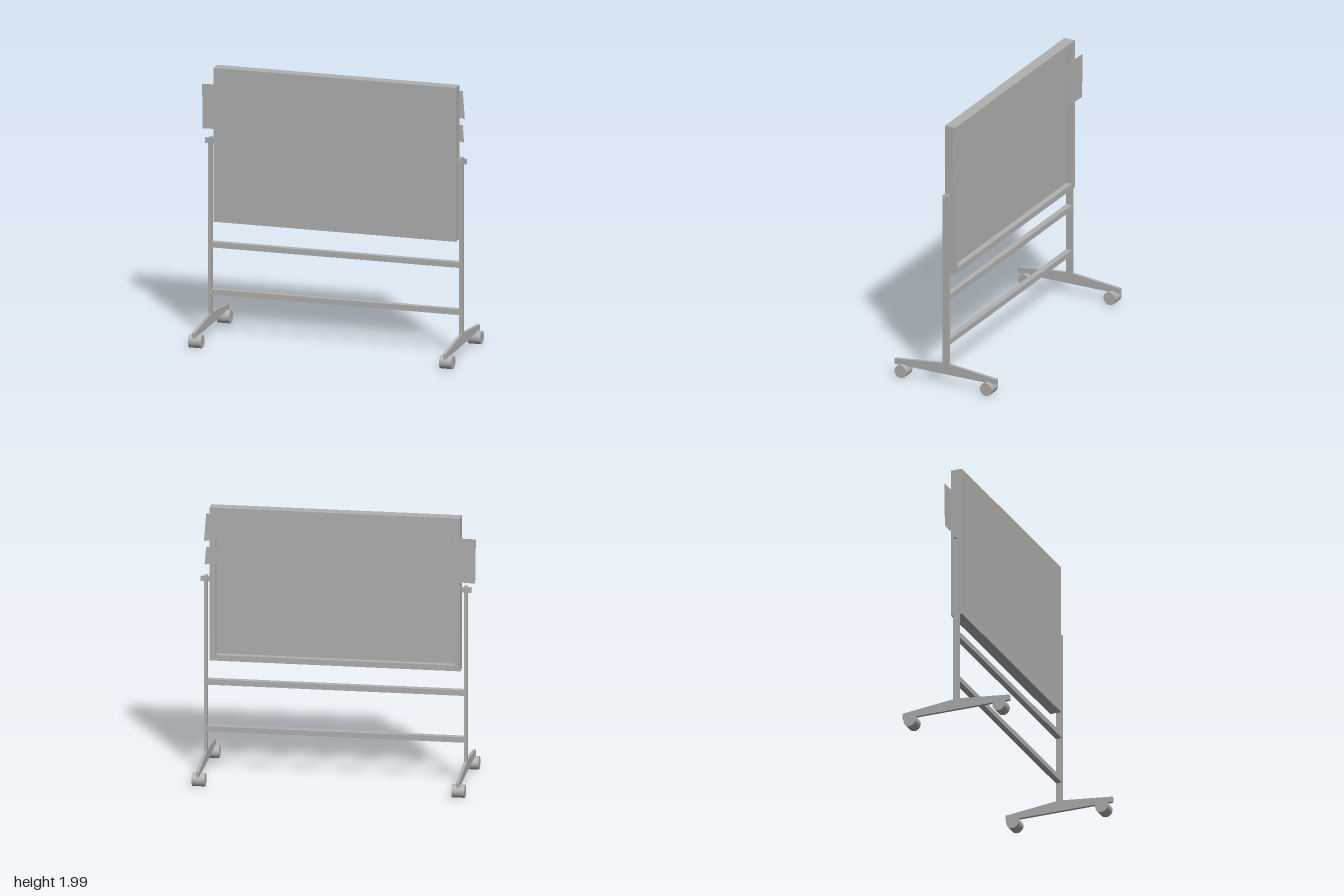
import * as THREE from 'three';

export function createModel() {
  const model = new THREE.Group();
  model.name = 'mobileWhiteboard';
  const grey = new THREE.MeshStandardMaterial({ color: 0xb0b0b0 });
  grey.name = 'grey';

  const add = (name, geometry) => {
    const mesh = new THREE.Mesh(geometry, grey);
    mesh.name = name;
    model.add(mesh);
    return mesh;
  };

  // Box given by its limits on each axis
  const box = (name, x0, x1, y0, y1, z0, z1) => {
    const mesh = add(name, new THREE.BoxGeometry(x1 - x0, y1 - y0, z1 - z0));
    mesh.position.set((x0 + x1) / 2, (y0 + y1) / 2, (z0 + z1) / 2);
    return mesh;
  };

  const shapeOf = (points) => new THREE.Shape(points.map(([x, y]) => new THREE.Vector2(x, y)));
  const plate = (points, depth) =>
    new THREE.ExtrudeGeometry(shapeOf(points), { depth, bevelEnabled: false });

  // Board: flat front panel with a raised rim around the back
  const [left, right, bottom, top] = [-0.887, 0.92, 0.85, 1.99];
  const [back, recess, front] = [-0.057, -0.012, 0.028];
  const rim = 0.042;
  box('boardPanel', left, right, bottom, top, recess, front);
  const rimShape = shapeOf([[left, bottom], [right, bottom], [right, top], [left, top]]);
  rimShape.holes.push(new THREE.Path([
    [left + rim, bottom + rim], [left + rim, top - rim],
    [right - rim, top - rim], [right - rim, bottom + rim],
  ].map(([x, y]) => new THREE.Vector2(x, y))));
  const rimMesh = add('boardRim',
    new THREE.ExtrudeGeometry(rimShape, { depth: recess - back, bevelEnabled: false }));
  rimMesh.position.z = back;

  // Paper notes stuck to the back of the rim
  const notes = {
    largeNote: [[-0.995, 1.51], [-0.75, 1.52], [-0.745, 1.845], [-1.0, 1.84]],
    upperNote: [[0.86, 1.755], [0.96, 1.74], [0.945, 1.945], [0.85, 1.945]],
    lowerNote: [[0.86, 1.58], [0.955, 1.565], [0.945, 1.695], [0.855, 1.695]],
  };
  for (const [name, points] of Object.entries(notes)) {
    add(name, plate(points, 0.002)).position.z = back - 0.002;
  }

  // Side stands: post, pivot, tapered foot and two casters
  const footProfile = [
    [-0.413, 0.085], [0.413, 0.085], [0.413, 0.125],
    [0.022, 0.167], [-0.022, 0.167], [-0.413, 0.125],
  ];
  const thick = 0.022;
  for (const [side, x] of [['right', -0.919], ['left', 0.953]]) {
    box(`${side}Post`, x - thick / 2, x + thick / 2, 0.166, 1.47, -0.023, 0.023);
    box(`${side}Pivot`, x - 0.038, x + 0.038, 1.424, 1.462, -0.009, 0.009);

    const foot = add(`${side}Foot`, plate(footProfile, thick));
    foot.rotation.y = Math.PI / 2;
    foot.position.x = x - thick / 2;

    for (const z of [-0.345, 0.345]) {
      const caster = add(`${side}Caster`, new THREE.CylinderGeometry(0.048, 0.048, 0.093, 32));
      caster.rotation.z = Math.PI / 2;
      caster.position.set(x, 0.048, z);
    }
  }

  // Crossbars joining the posts
  for (const y of [0.328, 0.677]) {
    box('crossbar', -0.908, 0.942, y - 0.02, y + 0.02, -0.022, 0.022);
  }

  return model;
}
